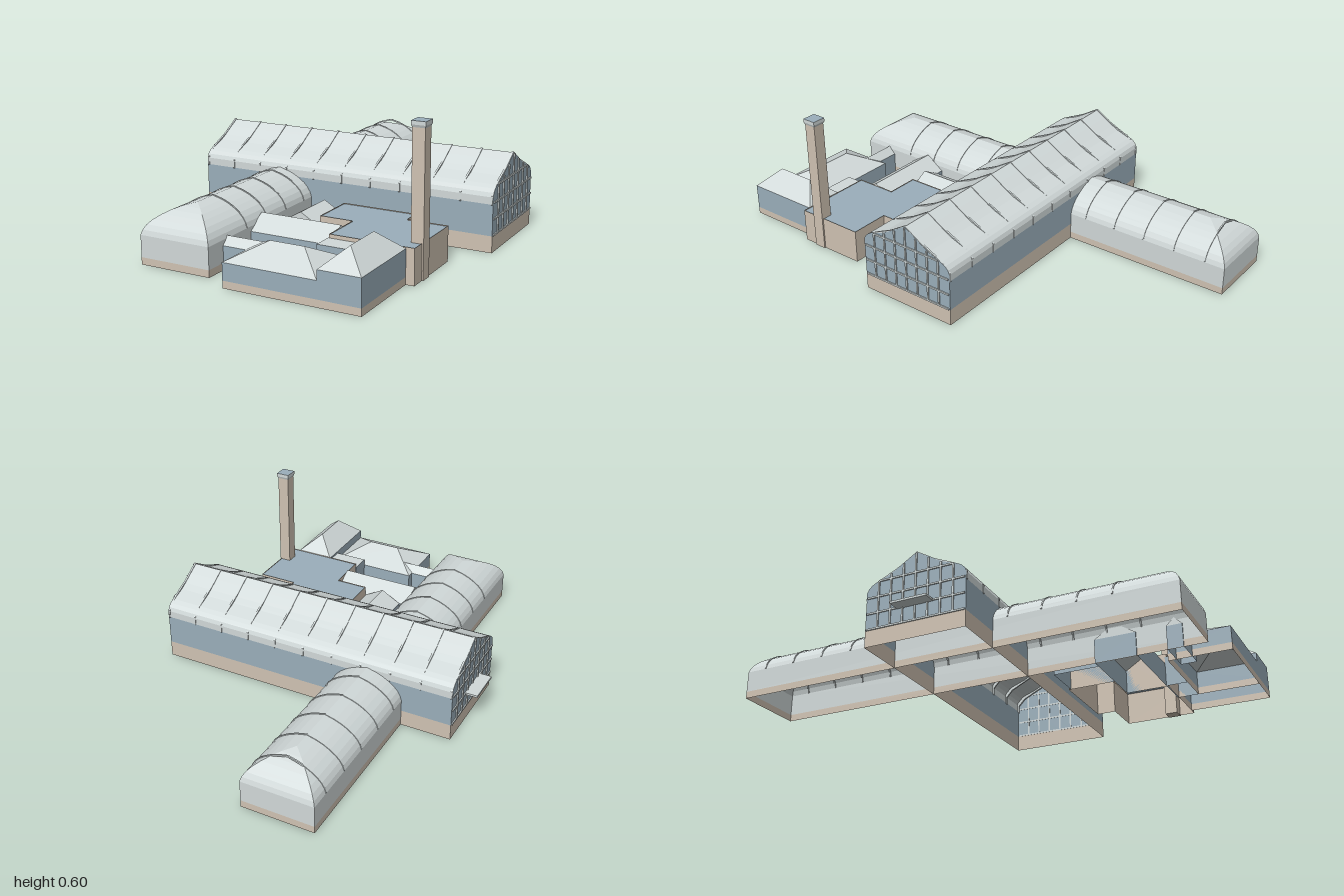
import * as THREE from 'three';

const material = (name, color) => {
  const m = new THREE.MeshStandardMaterial({ color, side: THREE.DoubleSide });
  m.name = name;
  return m;
};

export function createModel() {
  const pale = material('paleRoof', 0xd2dada);
  const blue = material('blueGlass', 0x9bafbb);
  const tan = material('tanMasonry', 0xd0c3b3);
  const model = new THREE.Group();

  const add = (name, geometry, mat, parent = model) => {
    const mesh = new THREE.Mesh(geometry, mat);
    mesh.name = name;
    parent.add(mesh);
    return mesh;
  };
  const group = (name) => {
    const g = new THREE.Group();
    g.name = name;
    model.add(g);
    return g;
  };
  // Flat-faced geometry from polygons, each fanned from its first corner
  const faces = (polygons) => {
    const p = [];
    for (const f of polygons)
      for (let i = 1; i < f.length - 1; i++) p.push(...f[0], ...f[i], ...f[i + 1]);
    const g = new THREE.BufferGeometry();
    g.setAttribute('position', new THREE.Float32BufferAttribute(p, 3));
    g.computeVertexNormals();
    return g;
  };
  // Quads joining two loops of equal length
  const bridge = (a, b, closed = true) => {
    const out = [];
    for (let i = 0; i < a.length - (closed ? 0 : 1); i++) {
      const j = (i + 1) % a.length;
      out.push([a[i], a[j], b[j], b[i]]);
    }
    return out;
  };
  const rect = (x0, x1, z0, z1, y) => [[x0, y, z1], [x1, y, z1], [x1, y, z0], [x0, y, z0]];
  const walls = (name, [x0, x1, z0, z1], y0, y1, mat, parent) =>
    add(name, faces(bridge(rect(x0, x1, z0, z1, y0), rect(x0, x1, z0, z1, y1))), mat, parent);
  const box = (name, size, pos, mat, parent) =>
    add(name, new THREE.BoxGeometry(...size), mat, parent).position.set(...pos);
  const mirrored = (half) => [...half, ...half.slice(0, -1).reverse().map(([u, v]) => [-u, v])];
  // Thin arch following a half profile, in the xy plane
  const archRib = (half, drop, width) => {
    const outer = mirrored(half);
    const inner = mirrored(half.map(([u, v]) => [u * 0.96, v - drop])).reverse();
    const shape = new THREE.Shape([...outer, ...inner].map(([u, v]) => new THREE.Vector2(u, v)));
    const g = new THREE.ExtrudeGeometry(shape, { depth: width, bevelEnabled: false });
    return g.translate(0, 0, -width / 2);
  };

  // Main hall, running along x
  const hall = group('mainHall');
  const HX = [-0.655, 0.705], HZ = -0.04;
  const hallRect = [...HX, HZ - 0.22, HZ + 0.22];
  walls('hallBase', hallRect, 0, 0.07, tan, hall);
  const hallHalf = [[0.22, 0.2], [0.22, 0.23], [0.214, 0.247], [0.2, 0.261], [0.18, 0.272],
    [0.15, 0.283], [0.12, 0.294], [0.09, 0.31], [0.045, 0.338], [0, 0.364]];
  const hallProfile = mirrored(hallHalf);
  const hallLine = (x) => hallProfile.map(([u, v]) => [x, v, HZ + u]);
  add('hallRoof', faces(bridge(hallLine(HX[0]), hallLine(HX[1]), false)), pale, hall);
  for (const s of [-1, 1]) {
    const z = HZ + s * 0.22;
    add('hallSideGlass', faces([[[HX[0], 0.07, z], [HX[1], 0.07, z], [HX[1], 0.2, z], [HX[0], 0.2, z]]]), blue, hall);
  }
  const roofHeight = (u) => {
    for (let i = 0; i < hallHalf.length - 1; i++) {
      const [a, ya] = hallHalf[i], [b, yb] = hallHalf[i + 1];
      if (u <= a && u >= b && a > b) return ya + (yb - ya) * (a - u) / (a - b);
    }
    return 0.2;
  };
  HX.forEach((x, i) => {
    const line = [[x, 0.07, HZ + 0.22], ...hallLine(x), [x, 0.07, HZ - 0.22]];
    add('gableGlass', faces([[[x, 0.07, HZ], ...line]]), blue, hall);
    const xm = x + (i ? 0.002 : -0.002);
    // Glazing bars on the gable
    for (let k = -3; k <= 3; k++) {
      const top = roofHeight(Math.abs(k) * 0.055) - 0.004;
      box('glazingBar', [0.006, top - 0.07, 0.007], [xm, (top + 0.07) / 2, HZ + k * 0.055], pale, hall);
    }
    for (const [y, w] of [[0.073, 0.43], [0.14, 0.43], [0.208, 0.43], [0.275, 0.33]])
      box('glazingBar', [0.006, 0.007, w], [xm, y, HZ], pale, hall);
  });
  // Roof ribs
  const hallRib = archRib([[0.222, 0.2], [0.222, 0.235], [0.19, 0.268], [0.15, 0.287], [0.08, 0.319], [0, 0.368]], 0.012, 0.008);
  for (let i = 0; i < 11; i++) {
    const rib = add('hallRib', hallRib, pale, hall);
    rib.rotation.y = Math.PI / 2;
    rib.position.set(-0.65 + i * 0.135, 0, HZ);
  }
  box('entranceCanopy', [0.055, 0.009, 0.16], [-0.682, 0.14, -0.04], pale, hall);

  // Long wing, running along z, with curved hipped ends
  const wing = group('longWing');
  const WX = -0.2775, W = 0.1575, Z0 = -1, Z1 = 0.935;
  const wingRing = (d, y) => rect(WX - W + d, WX + W - d, Z0 + d, Z1 - d, y);
  walls('wingBase', [WX - W, WX + W, Z0, Z1], 0, 0.03, tan, wing);
  walls('wingWall', [WX - W, WX + W, Z0, Z1], 0.03, 0.12, pale, wing);
  const wingSteps = [[0, 0.12], [0.006, 0.14], [0.018, 0.16], [0.035, 0.178], [0.06, 0.196],
    [0.085, 0.21], [0.115, 0.222], [W, 0.233]];
  const wingFaces = [];
  for (let i = 0; i < wingSteps.length - 1; i++)
    wingFaces.push(...bridge(wingRing(...wingSteps[i]), wingRing(...wingSteps[i + 1])));
  add('wingRoof', faces(wingFaces), pale, wing);
  const wingRib = archRib(wingSteps.map(([d, y]) => [(W - d) * 1.01, y + 0.003]), 0.007, 0.006);
  for (let i = 0; i < 12; i++)
    add('wingRib', wingRib, pale, wing).position.set(WX, 0, -0.91 + i * 0.144);

  // Ridged roof; inset 0 gives gables, larger insets give hips
  const ridgeRoof = (name, [x0, x1, z0, z1], eave, top, axis, inset, parent) => {
    const [a, b, c, d] = rect(x0, x1, z0, z1, eave);
    const xm = (x0 + x1) / 2, zm = (z0 + z1) / 2;
    if (axis === 'x') {
      const l = [x0 + inset, top, zm], r = [x1 - inset, top, zm];
      add(name, faces([[a, b, r, l], [b, c, r], [c, d, l, r], [d, a, l]]), pale, parent);
    } else {
      const f = [xm, top, z1 - inset], k = [xm, top, z0 + inset];
      add(name, faces([[a, b, f], [b, c, k, f], [c, d, k], [d, a, f, k]]), pale, parent);
    }
  };
  const house = (name, area, base, eave, top, axis, inset) => {
    const g = group(name);
    if (base) walls(name + 'Base', area, 0, base, tan, g);
    walls(name + 'Wall', area, base, eave, blue, g);
    ridgeRoof(name + 'Roof', area, eave, top, axis, inset, g);
  };
  house('lowPavilion', [-0.015, 0.38, 0.74, 1], 0.03, 0.1, 0.165, 'x', 0.125);
  house('tallPavilion', [0.38, 0.555, 0.655, 1], 0.03, 0.14, 0.217, 'z', 0.085);
  house('corridor', [-0.125, 0.042, 0.775, 0.84], 0, 0.098, 0.13, 'x', 0);
  house('connector', [-0.125, 0.235, 0.475, 0.65], 0, 0.1, 0.155, 'x', 0);
  house('smallGable', [-0.085, 0.09, 0.28, 0.475], 0, 0.1, 0.15, 'z', 0);

  // Flat link between the block and the pavilions
  walls('linkWall', [0.23, 0.38, 0.65, 0.74], 0, 0.13, blue);
  add('linkRoof', faces([rect(0.23, 0.38, 0.65, 0.74, 0.13)]), pale);

  // Stepped flat-roofed service block
  const block = group('serviceBlock');
  const plan = [[0.09, 0.27], [0.415, 0.27], [0.415, 0.35], [0.59, 0.35],
    [0.59, 0.655], [0.235, 0.655], [0.235, 0.47], [0.09, 0.47]];
  const loop = (y) => plan.map(([x, z]) => [x, y, z]);
  add('blockWall', faces(bridge(loop(0), loop(0.146))), tan, block);
  const roof = new THREE.ShapeGeometry(new THREE.Shape(plan.map(([x, z]) => new THREE.Vector2(x, -z))));
  add('blockRoof', roof.rotateX(-Math.PI / 2).translate(0, 0.142, 0), blue, block);

  // Chimney with a flared cap
  const chimney = group('chimney');
  const CX = 0.57, CZ = 0.565;
  box('chimneyShaft', [0.052, 0.58, 0.052], [CX, 0.29, CZ], tan, chimney);
  const capRing = (h, y) => rect(CX - h, CX + h, CZ - h, CZ + h, y);
  add('chimneyCap', faces([...bridge(capRing(0.026, 0.578), capRing(0.03, 0.588)),
    ...bridge(capRing(0.03, 0.588), capRing(0.03, 0.603))]), pale, chimney);
  add('chimneyTop', faces([capRing(0.03, 0.603)]), blue, chimney);

  return model;
}
